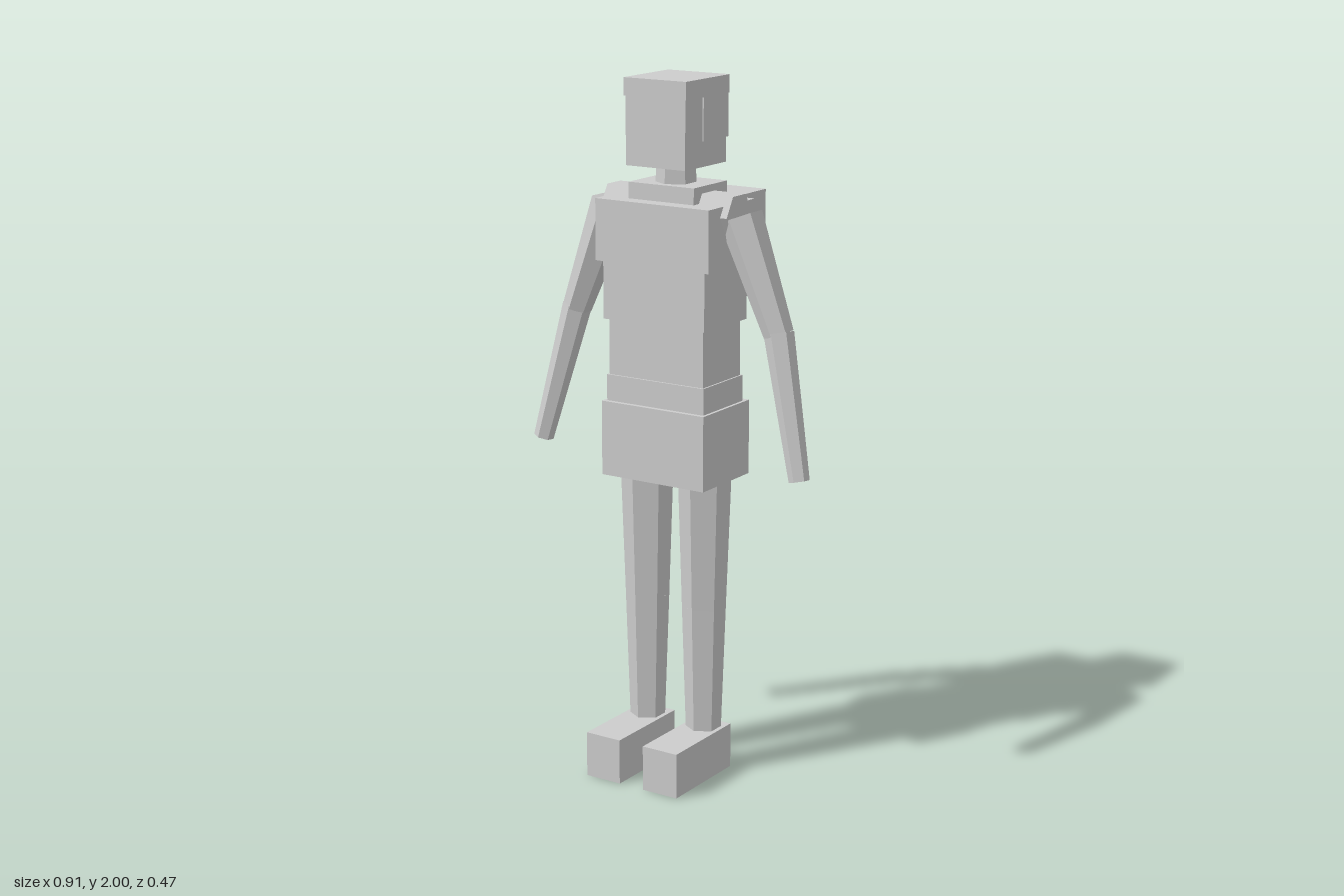
import * as THREE from 'three';

export function createModel() {
  const group = new THREE.Group();
  const paleGrey = new THREE.MeshStandardMaterial({ color: 0xcccccc, flatShading: true });
  paleGrey.name = 'paleGrey';

  const add = (name, geometry) => {
    const mesh = new THREE.Mesh(geometry, paleGrey);
    mesh.name = name;
    group.add(mesh);
    return mesh;
  };

  // Box given by its limits on each axis
  const block = (name, [x0, x1], [y0, y1], [z0, z1]) =>
    add(name, new THREE.BoxGeometry(x1 - x0, y1 - y0, z1 - z0))
      .position.set((x0 + x1) / 2, (y0 + y1) / 2, (z0 + z1) / 2);

  // Tapered six-sided bone between two points
  const up = new THREE.Vector3(0, 1, 0);
  const bone = (name, from, to, rFrom, rTo) => {
    const a = new THREE.Vector3(...from);
    const b = new THREE.Vector3(...to);
    const dir = b.clone().sub(a);
    const mesh = add(name, new THREE.CylinderGeometry(rFrom, rTo, dir.length(), 6));
    mesh.position.copy(a).add(b).multiplyScalar(0.5);
    mesh.quaternion.setFromUnitVectors(up, dir.negate().normalize());
  };

  // Head, hair and bun
  block('head', [-0.097, 0.097], [1.76, 1.99], [-0.1, 0.105]);
  block('hairTop', [-0.101, 0.101], [1.95, 2.0], [-0.11, 0.108]);
  block('hairBack', [-0.101, 0.101], [1.83, 1.96], [-0.106, 0.02]);
  const bun = add('hairBun', new THREE.SphereGeometry(0.058, 6, 4));
  bun.position.set(0, 1.875, -0.127);

  // Neck and torso, top to bottom
  bone('neck', [0, 1.78, 0.003], [0, 1.69, 0.003], 0.053, 0.058);
  block('collar', [-0.107, 0.107], [1.64, 1.71], [-0.09, 0.078]);
  block('chest', [-0.186, 0.186], [1.49, 1.664], [-0.11, 0.126]);
  block('ribs', [-0.167, 0.167], [1.325, 1.5], [-0.1, 0.117]);
  block('waist', [-0.156, 0.156], [1.16, 1.33], [-0.085, 0.105]);
  block('belly', [-0.161, 0.161], [1.08, 1.165], [-0.092, 0.111]);
  block('pelvis', [-0.17, 0.17], [0.875, 1.09], [-0.113, 0.125]);
  block('backpack', [-0.143, 0.143], [1.38, 1.67], [-0.237, -0.09]);

  // Limbs, mirrored left and right
  for (const [side, s] of [['left', 1], ['right', -1]]) {
    bone(side + 'Shoulder', [s * 0.08, 1.635, 0.005], [s * 0.207, 1.635, 0.005], 0.064, 0.064);
    bone(side + 'UpperArm', [s * 0.212, 1.632, 0.005], [s * 0.337, 1.32, 0.006], 0.061, 0.042);
    bone(side + 'Forearm', [s * 0.337, 1.325, 0.006], [s * 0.432, 0.93, 0.048], 0.042, 0.029);
    bone(side + 'Thigh', [s * 0.098, 0.93, 0.005], [s * 0.097, 0.5, 0.006], 0.077, 0.063);
    bone(side + 'Shin', [s * 0.097, 0.5, 0.006], [s * 0.097, 0.1, 0.007], 0.063, 0.05);
    block(side + 'Foot', [s * 0.097 - 0.057, s * 0.097 + 0.057], [0, 0.132], [-0.05, 0.235]);
  }
  return group;
}
